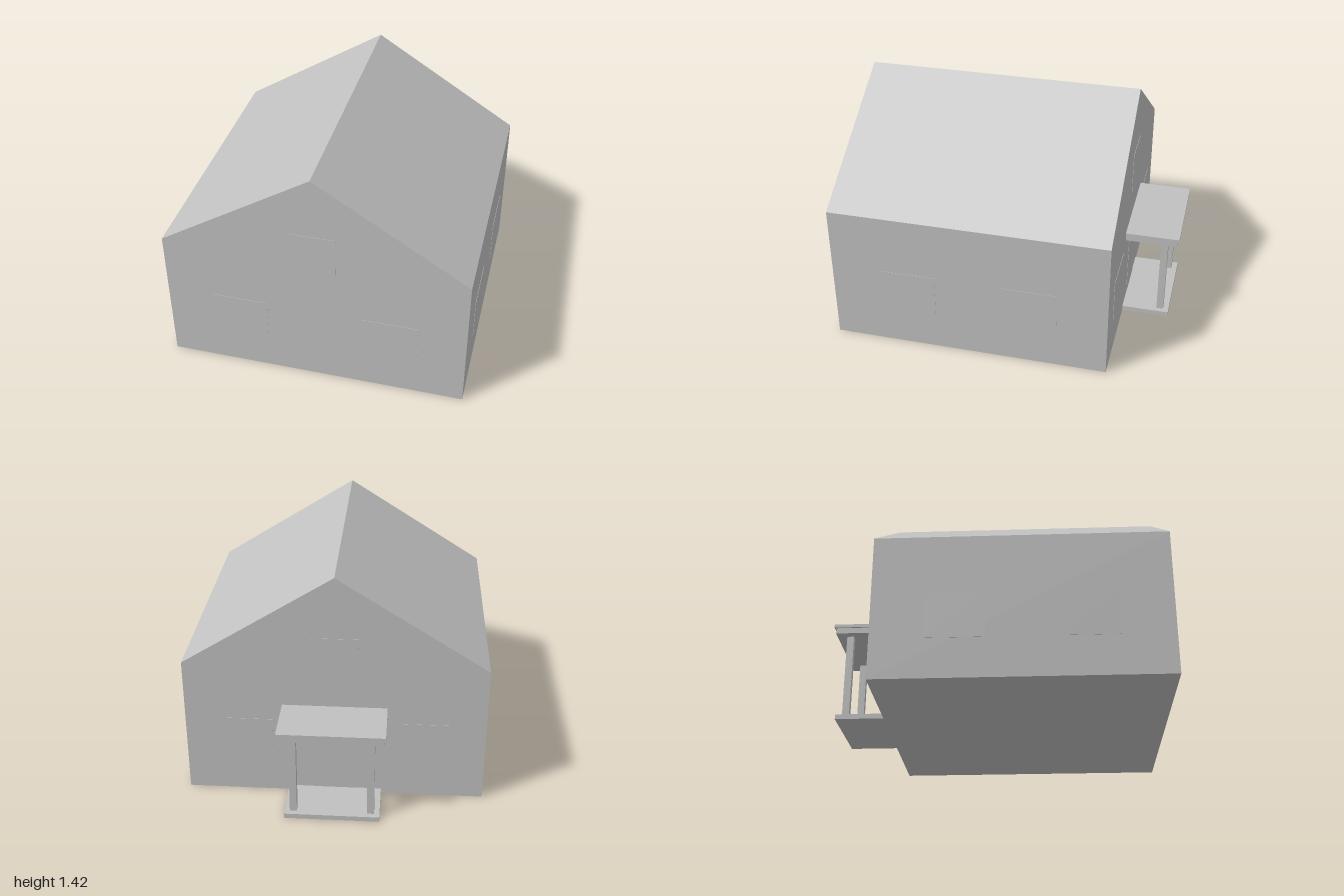
import * as THREE from 'three';

const wallGrey = new THREE.MeshStandardMaterial({ color: 0xc0c0c0 });
wallGrey.name = 'plain grey';

const HALF = 0.89, EAVE = 0.86, RIDGE = 1.42, FRONT = 0.99, BACK = -0.677;

export function createModel() {
  const group = new THREE.Group();
  group.name = 'house';

  // Box from its minimum and maximum corners
  function box(name, x0, x1, y0, y1, z0, z1) {
    const mesh = new THREE.Mesh(new THREE.BoxGeometry(x1 - x0, y1 - y0, z1 - z0), wallGrey);
    mesh.position.set((x0 + x1) / 2, (y0 + y1) / 2, (z0 + z1) / 2);
    mesh.name = name;
    group.add(mesh);
  }

  // Gabled body, walls and roof in one extrusion
  const gable = new THREE.Shape([
    new THREE.Vector2(-HALF, 0), new THREE.Vector2(HALF, 0),
    new THREE.Vector2(HALF, EAVE), new THREE.Vector2(0, RIDGE), new THREE.Vector2(-HALF, EAVE),
  ]);
  const body = new THREE.Mesh(
    new THREE.ExtrudeGeometry(gable, { depth: FRONT - BACK, bevelEnabled: false }), wallGrey);
  body.position.z = BACK;
  body.name = 'houseBody';
  group.add(body);

  // Thin window plates, barely proud of the walls
  const T = 0.002, Y0 = 0.235, Y1 = 0.497;
  box('frontAtticWindow', -0.135, 0.135, 0.78, 1.045, FRONT - T, FRONT + T);
  box('backAtticWindow', -0.135, 0.135, 0.78, 1.045, BACK - T, BACK + T);
  for (const s of [-1, 1]) {
    const side = s > 0 ? 'left' : 'right';
    box(side + 'FrontWindow', s * 0.447 - 0.165, s * 0.447 + 0.165, Y0, Y1, FRONT - T, FRONT + T);
    box(side + 'BackWindow', s * 0.53 - 0.16, s * 0.53 + 0.16, Y0, Y1, BACK - T, BACK + T);
    for (const [label, z] of [['Fore', 0.522], ['Rear', -0.21]]) {
      box(side + label + 'SideWindow', s * HALF - T, s * HALF + T, Y0, Y1, z - 0.167, z + 0.167);
    }
  }

  // Back door
  box('backDoor', -0.13, 0.13, 0.03, 0.52, BACK - T, BACK + T);

  // Porch: step, posts and two-layer canopy
  box('porchStep', -0.28, 0.28, 0, 0.03, -0.965, BACK);
  for (const s of [-1, 1]) {
    box(s > 0 ? 'leftPost' : 'rightPost', s * 0.227 - 0.021, s * 0.227 + 0.021, 0.03, 0.545, -0.931, -0.889);
  }
  box('canopyBase', -0.3, 0.3, 0.545, 0.58, -0.99, BACK);
  box('canopyTop', -0.31, 0.31, 0.58, 0.6, -1, BACK);

  return group;
}
